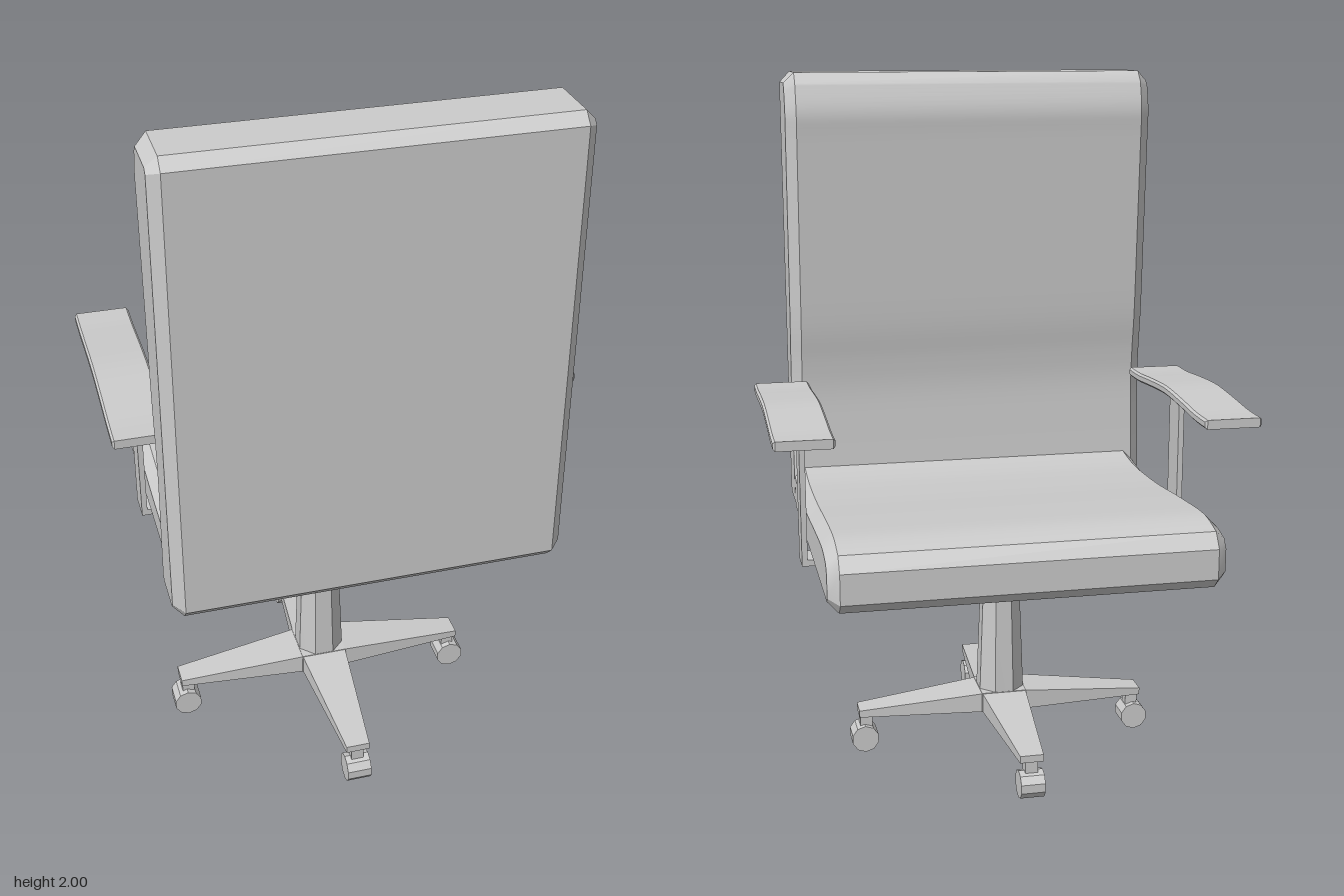
import * as THREE from 'three';
import { toCreasedNormals } from 'three/addons/utils/BufferGeometryUtils.js';

const material = new THREE.MeshStandardMaterial({ color: 0xcccccc });

function addMesh(parent, name, geometry, x = 0, y = 0, z = 0) {
  const mesh = new THREE.Mesh(geometry, material);
  mesh.name = name;
  mesh.position.set(x, y, z);
  parent.add(mesh);
  return mesh;
}

// Side profile in (z, y), swept across x from x0 to x1 with a chamfered rim
function sweepAcross(shape, x0, x1, chamfer) {
  const depth = x1 - x0 - 2 * chamfer;
  const geometry = new THREE.ExtrudeGeometry(shape, {
    depth, bevelEnabled: true, bevelSegments: 1, curveSegments: 6,
    bevelSize: chamfer, bevelThickness: chamfer, bevelOffset: -chamfer,
  });
  geometry.translate(0, 0, -depth / 2).rotateY(-Math.PI / 2).translate((x0 + x1) / 2, 0, 0);
  return toCreasedNormals(geometry, 0.5);
}

const points = (list) => list.map(([a, b]) => new THREE.Vector2(a, b));

function backrestShape() {
  const s = new THREE.Shape();
  s.moveTo(0.53, 0.715);
  s.lineTo(0.53, 1.97);
  s.lineTo(0.5, 2);
  s.lineTo(0.35, 2);
  s.lineTo(0.322, 1.97);
  s.splineThru(points([[0.302, 1.89], [0.306, 1.8], [0.32, 1.54], [0.334, 1.28],
    [0.35, 1.15], [0.356, 1.05], [0.349, 0.92], [0.34, 0.8], [0.335, 0.715]]));
  s.lineTo(0.36, 0.683);
  s.lineTo(0.5, 0.683);
  s.closePath();
  return s;
}

function seatShape() {
  const s = new THREE.Shape();
  s.moveTo(0.36, 0.673);
  s.lineTo(0.39, 0.703);
  s.lineTo(0.39, 0.8);
  s.lineTo(0.355, 0.827);
  s.splineThru(points([[0.26, 0.814], [0.165, 0.81], [-0.02, 0.817],
    [-0.23, 0.835], [-0.43, 0.847], [-0.535, 0.828]]));
  s.lineTo(-0.565, 0.787);
  s.lineTo(-0.565, 0.703);
  s.lineTo(-0.535, 0.673);
  s.closePath();
  return s;
}

// Gently humped arm pad of even thickness
function armPadShape() {
  const top = [[0.265, 1.11], [0.17, 1.111], [0.05, 1.12], [-0.09, 1.127],
    [-0.23, 1.12], [-0.35, 1.111], [-0.447, 1.11]];
  const s = new THREE.Shape();
  s.moveTo(...top[0]);
  s.splineThru(points(top.slice(1)));
  const under = top.map(([z, y]) => [z, y - 0.026]).reverse();
  s.lineTo(...under[0]);
  s.splineThru(points(under.slice(1)));
  s.closePath();
  return s;
}

// Base leg along +x: wide and tall at the hub, narrow and thin at the tip
function legGeometry() {
  const geometry = new THREE.BoxGeometry(1, 1, 1);
  const p = geometry.attributes.position;
  for (let i = 0; i < p.count; i++) {
    const tip = p.getX(i) > 0;
    const top = p.getY(i) > 0;
    p.setXYZ(i, tip ? 0.437 : 0.05, top ? (tip ? 0.133 : 0.172) : 0.112,
      Math.sign(p.getZ(i)) * (tip ? 0.034 : 0.068));
  }
  geometry.computeVertexNormals();
  return geometry;
}

export function createModel() {
  const chair = new THREE.Group();
  chair.name = 'officeChair';

  // Upholstery
  addMesh(chair, 'backrest', sweepAcross(backrestShape(), -0.558, 0.532, 0.03));
  addMesh(chair, 'seat', sweepAcross(seatShape(), -0.533, 0.532, 0.03));

  // Armrests joined by a flat bar under the seat
  const arms = new THREE.Group();
  arms.name = 'armrests';
  chair.add(arms);
  for (const side of [-1, 1]) {
    const label = side > 0 ? 'left' : 'right';
    const x = side * 0.573 - 0.002;
    addMesh(arms, label + 'ArmPad', sweepAcross(armPadShape(), x - 0.08, x + 0.08, 0.006));
    addMesh(arms, label + 'ArmPost', new THREE.BoxGeometry(0.016, 0.45, 0.086),
      side * 0.547 + 0.001, 0.882, -0.053);
  }
  addMesh(arms, 'armCrossBar', new THREE.BoxGeometry(1.11, 0.018, 0.086), 0.001, 0.666, -0.053);

  // Swivel base
  const base = new THREE.Group();
  base.name = 'base';
  base.position.set(-0.054, 0, 0.105);
  chair.add(base);

  // Octagonal column with flats facing the axes, narrowing at the top
  const flat = Math.cos(Math.PI / 8);
  const column = new THREE.LatheGeometry(
    points([[0, 0.14], [0.067, 0.14], [0.067, 0.17], [0.053, 0.56], [0.052, 0.645], [0.043, 0.68], [0, 0.68]]
      .map(([r, y]) => [r / flat, y])), 8, Math.PI / 8);
  addMesh(base, 'column', toCreasedNormals(column, 0.3));
  addMesh(base, 'hub', new THREE.BoxGeometry(0.136, 0.06, 0.136), 0, 0.142, 0);

  for (let i = 0; i < 4; i++) {
    const arm = new THREE.Group();
    arm.name = 'leg' + (i + 1);
    arm.rotation.y = i * Math.PI / 2;
    base.add(arm);
    addMesh(arm, 'legBeam', legGeometry());
    addMesh(arm, 'casterStem', new THREE.BoxGeometry(0.036, 0.07, 0.036), 0.415, 0.083, 0);
    const wheel = new THREE.CylinderGeometry(0.041, 0.041, 0.07, 10).rotateX(Math.PI / 2);
    addMesh(arm, 'casterWheel', toCreasedNormals(wheel, 0.3), 0.42, 0.041, 0);
  }
  return chair;
}
